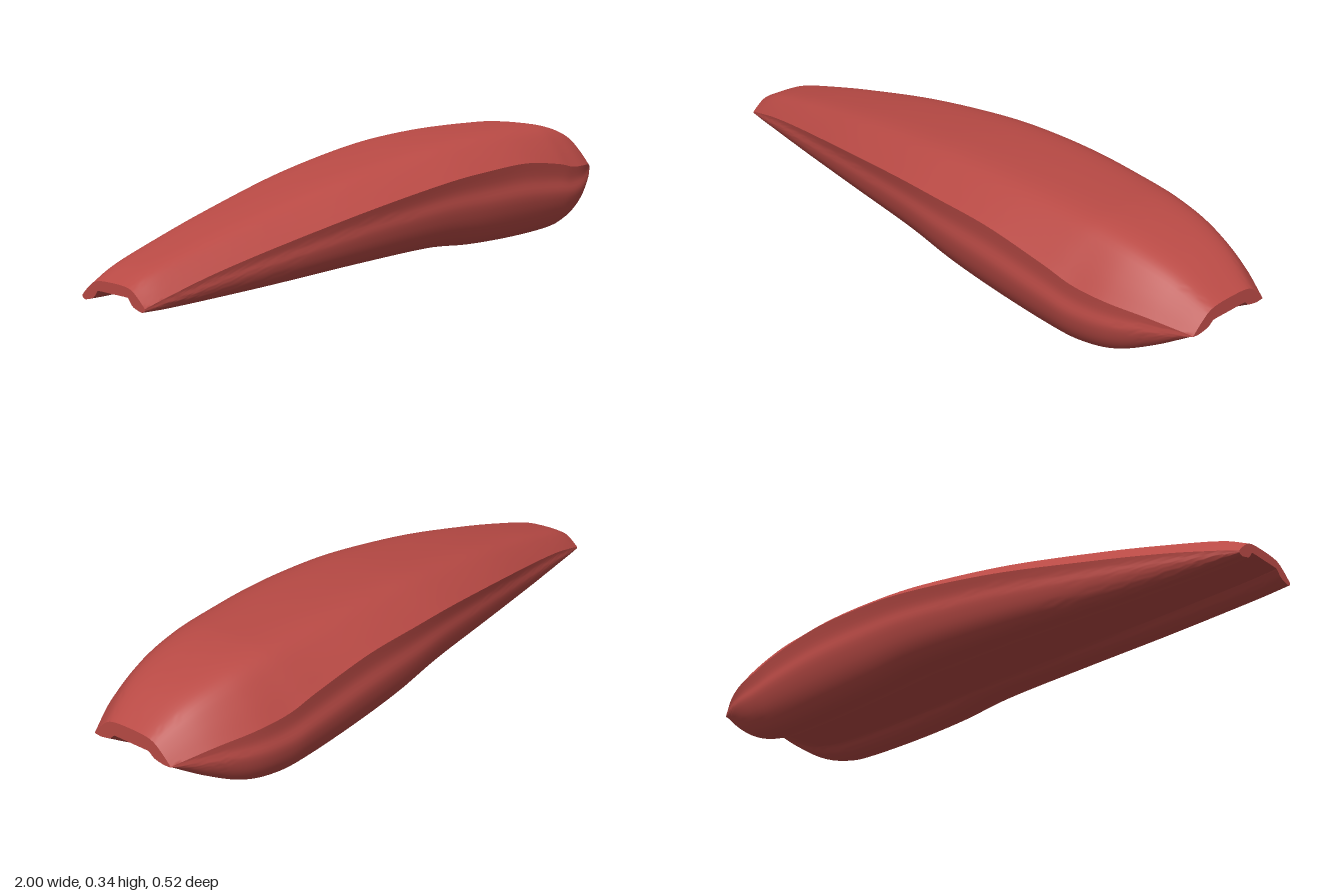
import * as THREE from 'three';
import { toCreasedNormals } from 'three/addons/utils/BufferGeometryUtils.js';

// Stations along the length: x, top y, crease z, crease y, keel y, channel y
const STATIONS = [
  [-1.0, 0.09, 0.115, 0.045, 0.035, 0.063],
  [-0.93, 0.123, 0.126, 0.066, 0.032, 0.06],
  [-0.8, 0.16, 0.145, 0.1, 0.031, 0.058],
  [-0.6, 0.21, 0.176, 0.142, 0.032, 0.057],
  [-0.3, 0.273, 0.222, 0.197, 0.037, 0.056],
  [0.0, 0.318, 0.252, 0.237, 0.035, 0.052],
  [0.2, 0.336, 0.26, 0.249, 0.016, 0.045],
  [0.4, 0.343, 0.257, 0.25, 0.005, 0.038],
  [0.6, 0.342, 0.248, 0.226, 0.002, 0.037],
  [0.7, 0.337, 0.239, 0.206, 0.009, 0.043],
  [0.8, 0.318, 0.22, 0.198, 0.036, 0.064],
  [0.9, 0.283, 0.182, 0.188, 0.092, 0.114],
  [1.0, 0.223, 0.13, 0.165, 0.162, 0.182],
];
const STEPS = 91;

const curve = (pts) => new THREE.SplineCurve(pts.map(([z, y]) => new THREE.Vector2(z, y)));

// Closed cross-section in (z, y): top centre, left side, underside, right side
function crossSection([x, top, creaseZ, creaseY, keelY, chanY]) {
  const mix = THREE.MathUtils.lerp;
  const shoulderZ = 0.6 * creaseZ;
  const shoulderY = mix(top, creaseY, 0.17);
  const bulgeZ = creaseZ * (1 + 0.04 * (1 - x * x) * Math.sin(2.6 * (x - 0.35)));
  const keelZ = 0.06 + 0.35 * creaseZ;
  const chanZ = 0.66 * keelZ;
  const upper = curve([
    [0, top],
    [shoulderZ * 0.6, mix(top, shoulderY, 0.18)],
    [shoulderZ, shoulderY],
    [mix(shoulderZ, creaseZ, 0.52), mix(shoulderY, creaseY, 0.45)],
    [creaseZ, creaseY],
  ]).getPoints(16);
  const lower = curve([
    [creaseZ, creaseY],
    [mix(creaseZ, bulgeZ, 0.5) - 0.025 * (creaseY - keelY), mix(keelY, creaseY, 0.78)],
    [bulgeZ, mix(keelY, creaseY, 0.56)],
    [mix(keelZ, bulgeZ, 0.82), mix(keelY, creaseY, 0.27)],
    [mix(keelZ, bulgeZ, 0.46), mix(keelY, creaseY, 0.05)],
    [keelZ, keelY],
    [mix(keelZ, chanZ, 0.8), mix(keelY, chanY, 0.3)],
    [chanZ - 0.008, mix(keelY, chanY, 0.88)],
    [chanZ * 0.75, chanY],
    [0, chanY],
  ]).getPoints(36);
  const half = [...upper, ...lower.slice(1)];
  const mirrored = half.slice(1, -1).reverse().map((p) => new THREE.Vector2(-p.x, p.y));
  return [...half, ...mirrored];
}

// Smooth rails through the stations, cut into rings
function makeRings() {
  const sections = STATIONS.map(crossSection);
  const rails = sections[0].map((_, j) => new THREE.CatmullRomCurve3(
    sections.map((s, i) => new THREE.Vector3(STATIONS[i][0], s[j].y, s[j].x)), false, 'catmullrom', 0.5));
  return Array.from({ length: STEPS + 1 }, (_, i) => rails.map((r) => r.getPoint(i / STEPS)));
}

// Skin stretched over the rings, with the side creases kept sharp
function skinGeometry(rings) {
  const n = rings[0].length;
  const index = [];
  for (let i = 0; i < STEPS; i++) {
    for (let j = 0; j < n; j++) {
      const a = i * n + j, b = i * n + ((j + 1) % n);
      index.push(a, b, a + n, b, b + n, a + n);
    }
  }
  const geometry = new THREE.BufferGeometry().setFromPoints(rings.flat());
  geometry.setIndex(index);
  return toCreasedNormals(geometry, 0.5);
}

// Flat arched face closing one end; side is +1 or -1 along x
function endGeometry(ring, side) {
  const shape = new THREE.Shape(ring.map((p) => new THREE.Vector2(-side * p.z, p.y)));
  return new THREE.ShapeGeometry(shape).rotateY(side * Math.PI / 2).translate(side, 0, 0);
}

export function createModel() {
  const group = new THREE.Group();
  group.name = 'taperedShell';
  const red = new THREE.MeshStandardMaterial({ color: 0xb94a45 });
  red.name = 'warm red';

  const add = (name, geometry) => {
    const mesh = new THREE.Mesh(geometry, red);
    mesh.name = name;
    group.add(mesh);
  };
  const rings = makeRings();
  add('shellBody', skinGeometry(rings));
  add('wideEndFace', endGeometry(rings[STEPS], 1));
  add('narrowEndFace', endGeometry(rings[0], -1));
  return group;
}
